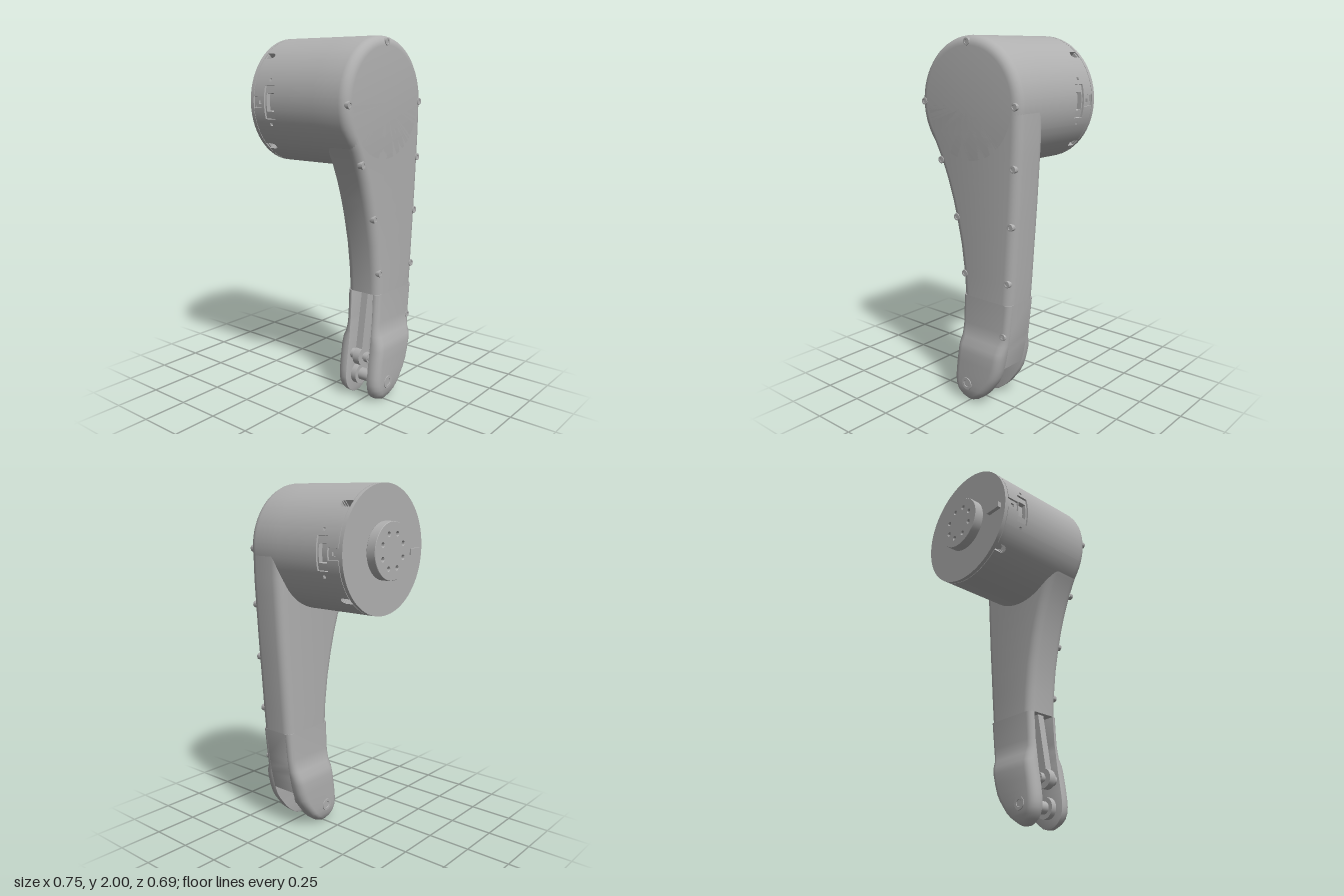
import * as THREE from 'three';
import { toCreasedNormals } from 'three/addons/utils/BufferGeometryUtils.js';

const MX = 0.2275;            // middle plane of the leg
const HUB_Y = 1.6575, R = 0.3425;

// height, front z, back z, half width of the leg
const OUTLINE = [
  [0, 0.02, -0.02, 0.108], [0.008, 0.045, -0.045, 0.118], [0.025, 0.07, -0.068, 0.13],
  [0.05, 0.09, -0.1, 0.138], [0.08, 0.101, -0.13, 0.1415], [0.11, 0.105, -0.152, 0.1425],
  [0.15, 0.103, -0.182, 0.1425], [0.19, 0.098, -0.204, 0.1425], [0.24, 0.091, -0.22, 0.1425],
  [0.3, 0.081, -0.235, 0.1425], [0.34, 0.076, -0.243, 0.137], [0.38, 0.071, -0.25, 0.121],
  [0.42, 0.067, -0.257, 0.11], [0.46, 0.062, -0.263, 0.1075], [0.62, 0.055, -0.28, 0.1075],
  [0.74, 0.062, -0.29, 0.1075], [0.9, 0.083, -0.301, 0.1075], [1.05, 0.115, -0.312, 0.1075],
  [1.15, 0.142, -0.319, 0.1075], [1.25, 0.175, -0.325, 0.1075], [1.35, 0.216, -0.331, 0.1075],
  [1.42, 0.252, -0.335, 0.1075], [1.5, 0.296, -0.339, 0.1075], [1.657, 0.34, -0.341, 0.1075],
];

// Closed skin over a stack of loops (counter-clockwise about the stacking axis)
function skin(loops, crease = 0.55) {
  const n = loops[0].length, pos = [];
  const tri = (...p) => p.forEach(v => pos.push(v.x, v.y, v.z));
  for (let i = 0; i < loops.length - 1; i++) {
    for (let j = 0; j < n; j++) {
      const k = (j + 1) % n, A = loops[i], B = loops[i + 1];
      tri(A[j], A[k], B[k]);
      tri(A[j], B[k], B[j]);
    }
  }
  const first = loops[0], last = loops[loops.length - 1];
  const mid = l => l.reduce((s, p) => s.add(p), new THREE.Vector3()).divideScalar(n);
  const c0 = mid(first), c1 = mid(last);
  for (let j = 0; j < n; j++) {
    const k = (j + 1) % n;
    tri(c0, first[k], first[j]);
    tri(c1, last[j], last[k]);
  }
  const g = new THREE.BufferGeometry();
  g.setAttribute('position', new THREE.Float32BufferAttribute(pos, 3));
  return toCreasedNormals(g, crease);
}

// Horizontal rounded rectangle; rl and rr round the low-x and high-x corners
function section(y, x0, x1, zf, zb, rl, rr) {
  const pts = [], lim = (zf - zb) * 0.45;
  [[x1, zf], [x1, zb], [x0, zb], [x0, zf]].forEach(([x, z], c) => {
    const r = Math.min(x === x1 ? rr : rl, lim);
    const cx = x === x1 ? x - r : x + r, cz = z === zf ? z - r : z + r;
    for (let s = 0; s <= 5; s++) {
      const a = (c - 1 + s / 5) * Math.PI / 2;
      pts.push(new THREE.Vector3(cx + r * Math.cos(a), y, cz - r * Math.sin(a)));
    }
  });
  return pts;
}

// Motor housing: a drum about x with recesses pressed into its wall
function housingGeometry() {
  const recesses = [];                       // x0, x1, angle, half angle, depth
  for (const a of [Math.PI / 2, Math.PI * 1.5]) {
    recesses.push([-0.22, -0.15, a, 0.263, 0.01], [-0.21, -0.16, a, 0.146, 0.035],
      [-0.3, -0.225, a, 0.09, 0.01], [-0.268, -0.248, a, 0.028, 0.02],
      [-0.195, -0.18, a - 0.35, 0.022, 0.02], [-0.195, -0.18, a + 0.35, 0.022, 0.02]);
  }
  for (let k = 0; k < 4; k++) {
    const a = Math.PI / 4 + k * Math.PI / 2;
    recesses.push([-0.3, -0.245, a, 0.062, 0.045], [-0.3, -0.236, a, 0.046, 0.045], [-0.3, -0.231, a, 0.026, 0.045]);
  }
  const e = 0.0006, xs = [-0.295, 0.12, 0.285], angles = [];
  for (let i = 0; i < 64; i++) angles.push(i * Math.PI / 32 + 0.001);
  for (const [x0, x1, a, h] of recesses) {
    for (const x of [x0, x1]) if (x > -0.295) xs.push(x - e, x + e);
    for (const t of [a - h, a + h]) angles.push(t - e, t + e);
  }
  const sorted = v => [...new Set(v.map(n => +n.toFixed(5)))].sort((a, b) => a - b);
  const ring = (x, r) => sorted(angles).map(t => {
    let d = 0;
    for (const [x0, x1, a, h, depth] of recesses) {
      if (x > x0 && x < x1 && Math.abs(t - a) < h) d = Math.max(d, depth);
    }
    return new THREE.Vector3(x, HUB_Y + (r - d) * Math.cos(t), (r - d) * Math.sin(t));
  });
  const loops = sorted(xs).map(x => ring(x, R));
  for (let s = 1; s <= 6; s++) {             // rounded outer rim
    const a = s * Math.PI / 12;
    loops.push(ring(0.285 + 0.05 * Math.sin(a), R - 0.05 + 0.05 * Math.cos(a)));
  }
  return skin(loops);
}

export function createModel() {
  const model = new THREE.Group();
  const grey = new THREE.MeshStandardMaterial({ color: 0xb0b0b0 });
  grey.name = 'metal grey';

  const add = (name, geometry, x = 0, y = 0, z = 0) => {
    const m = new THREE.Mesh(geometry, grey);
    m.name = name;
    m.position.set(x, y, z);
    model.add(m);
    return m;
  };
  // Cylinder along x between two x positions
  const rod = (name, r, x0, x1, y, z, sides = 32) =>
    add(name, new THREE.CylinderGeometry(r, r, x1 - x0, sides).rotateZ(-Math.PI / 2), (x0 + x1) / 2, y, z);

  // Motor head
  add('motorHousing', housingGeometry());
  rod('flangeGroove', R - 0.008, -0.3, -0.29, HUB_Y, 0, 64);
  rod('flange', R, -0.32, -0.298, HUB_Y, 0, 64);
  add('cableTab', new THREE.BoxGeometry(0.03, 0.034, 0.095), -0.327, 1.64, 0.258);

  // Output hub with a ring of bolt holes
  const disc = new THREE.Shape().absarc(0, 0, 0.151, 0, Math.PI * 2);
  for (let i = 0; i < 8; i++) {
    const a = (i + 0.5) * Math.PI / 4;
    disc.holes.push(new THREE.Path().absarc(0.095 * Math.cos(a), 0.095 * Math.sin(a), 0.014, 0, Math.PI * 2, true));
  }
  const hub = new THREE.ExtrudeGeometry(disc, {
    depth: 0.05, bevelEnabled: true, bevelSize: 0.002, bevelThickness: 0.003, bevelSegments: 1, curveSegments: 24,
  });
  add('outputHub', toCreasedNormals(hub.rotateY(Math.PI / 2), 0.5), -0.372, HUB_Y, 0);

  // Upper leg
  add('leg', skin(OUTLINE.filter(r => r[0] >= 0.62).map(([y, f, b, h]) =>
    section(y, MX - h, MX + h, f, b, 0.05, 0.05))));

  // Fork prongs, one each side of the slot
  const slot = 0.0725;
  for (const s of [-1, 1]) {
    const rows = OUTLINE.filter(r => r[0] <= 0.62).map(([y, f, b, h]) => {
      const r = Math.min(0.045, (h - slot) * 0.94);
      return s < 0 ? section(y, MX - h, MX - slot, f, b, r, 0.002)
        : section(y, MX + slot, MX + h, f, b, 0.002, r);
    });
    add(s < 0 ? 'rightProng' : 'leftProng', skin(rows));
  }

  // Wall closing the back of the slot
  add('slotBack', skin(OUTLINE.filter(r => r[0] >= 0.24 && r[0] <= 0.62).map(([y, , b]) =>
    section(y, MX - 0.075, MX + 0.075, b + 0.055, b, 0.001, 0.001))));

  // Push rod with its eye and pin
  const top = new THREE.Vector3(MX, 0.68, -0.01), eye = new THREE.Vector3(MX, 0.25, 0.058);
  const push = add('pushRod', new THREE.BoxGeometry(0.042, top.distanceTo(eye), 0.06));
  push.position.copy(top).add(eye).multiplyScalar(0.5);
  push.rotation.x = Math.atan2(top.z - eye.z, top.y - eye.y);
  rod('pushRodEye', 0.054, MX - 0.021, MX + 0.021, eye.y, eye.z);
  rod('pushRodPin', 0.02, MX - 0.06, MX + 0.06, eye.y, eye.z, 20);
  for (const s of [-1, 1]) {
    const x = MX + s * 0.046;
    rod('pinHead', 0.029, x - 0.012, x + 0.012, eye.y, eye.z, 20);
  }

  // Knee axle with bearing collars
  rod('kneeAxle', 0.035, MX - slot, MX + slot, 0.11, 0);
  for (const s of [-1, 1]) {
    const x = MX + s * 0.057;
    rod('kneeCollar', 0.06, x - 0.017, x + 0.017, 0.11, 0);
  }

  // Raised screw head with a sunken centre, facing +x or -x
  const screw = (name, r, x, y, z, side = 1) => {
    const profile = [[0, 0.004], [r * 0.5, 0.004], [r * 0.55, 0.007], [r * 0.95, 0.007], [r, 0], [r, -0.02]]
      .map(p => new THREE.Vector2(...p)).reverse();
    const g = toCreasedNormals(new THREE.LatheGeometry(profile, 20), 0.5);
    add(name, g, x, y, z).rotation.z = -side * Math.PI / 2;
  };
  [[1.967, 0], [1.657, 0.312], [1.657, -0.31], [1.35, 0.196], [1.35, -0.303], [1.05, 0.087],
    [1.05, -0.285], [0.742, 0.034], [0.742, -0.263], [0.44, -0.233]]
    .forEach(([y, z]) => screw('coverScrew', 0.02, 0.331, y, z));
  screw('axleCap', 0.037, MX + 0.139, 0.11, 0, 1);
  screw('axleCap', 0.037, MX - 0.139, 0.11, 0, -1);

  return model;
}
